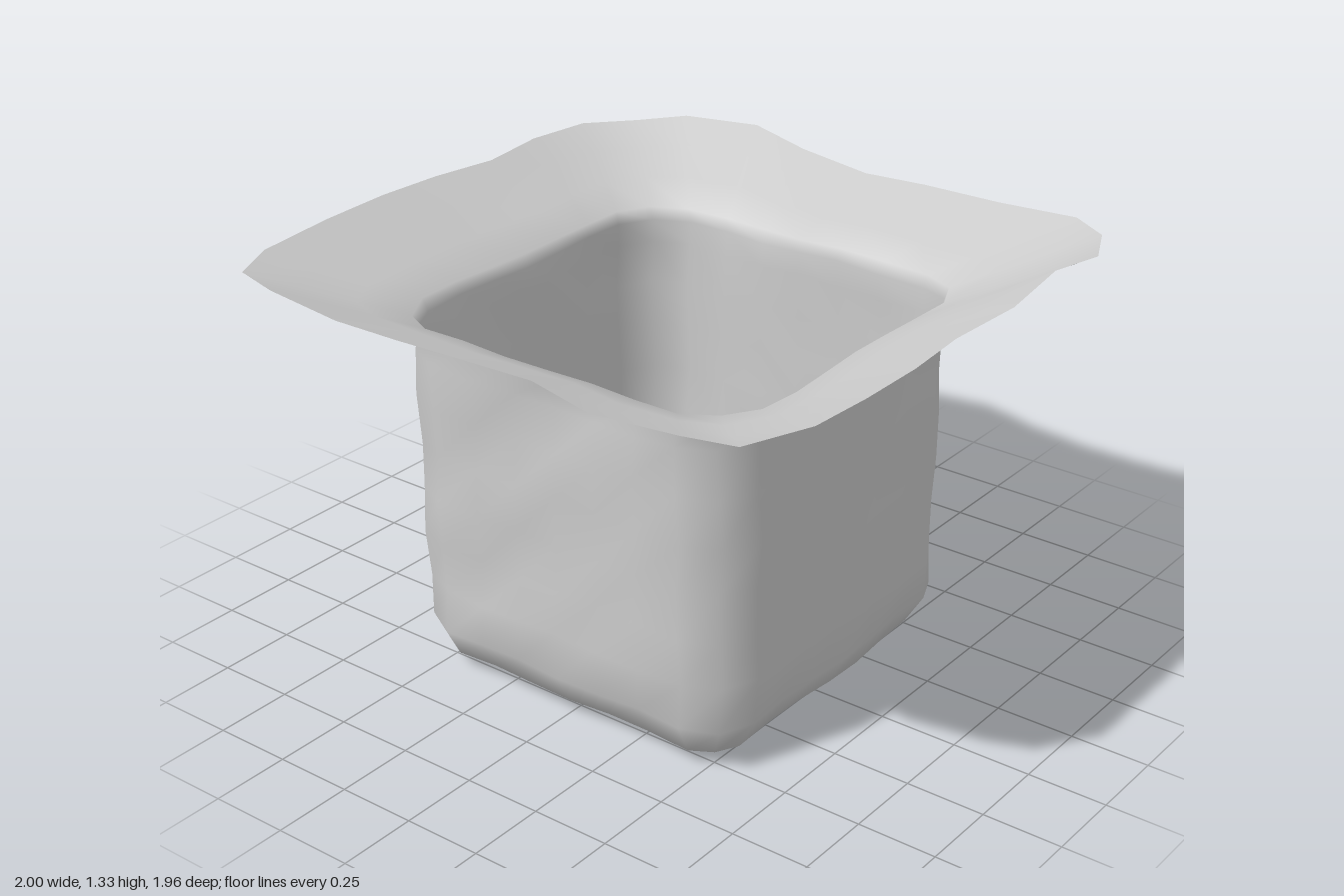
import * as THREE from 'three';

// Brim edge, clockwise from the back right corner: seven points per side, then a corner [x, y, z]
const BRIM_EDGE = [
  [-0.76, 1.33, -0.945], [-0.5, 1.345, -0.95], [-0.24, 1.34, -0.97], [0, 1.33, -0.975], [0.24, 1.32, -0.955], [0.48, 1.32, -0.985], [0.72, 1.31, -0.975],
  [0.88, 1.3, -0.87],
  [0.97, 1.32, -0.73], [1, 1.335, -0.46], [0.97, 1.305, -0.25], [0.96, 1.28, 0], [0.95, 1.295, 0.23], [0.98, 1.285, 0.48], [0.965, 1.305, 0.76],
  [0.895, 1.3, 0.885],
  [0.715, 1.31, 0.97], [0.51, 1.325, 0.945], [0.24, 1.31, 0.97], [-0.02, 1.3, 0.945], [-0.27, 1.31, 0.975], [-0.5, 1.31, 0.975], [-0.73, 1.32, 0.975],
  [-0.89, 1.29, 0.86],
  [-0.955, 1.305, 0.72], [-1, 1.31, 0.47], [-0.94, 1.31, 0.23], [-0.96, 1.315, 0], [-0.965, 1.31, -0.23], [-0.97, 1.31, -0.45], [-0.97, 1.335, -0.7],
  [-0.9, 1.32, -0.89],
];
const N = BRIM_EDGE.length;

// Small repeatable bumps
const wobble = (x, y, z, k) =>
  Math.sin(x * 7.3 + y * 5.1 + k) * Math.cos(z * 6.7 - y * 8.3 + k * 2.1) * 0.7 +
  Math.sin(y * 17 + x * 11 - z * 13 + k * 3.7) * 0.5;

// Rounded square ring: half width, half length of the straight part, corner offset
function squareRing(half, flat, corner, y, bump) {
  const ring = [];
  for (let side = 0; side < 4; side++) {
    const c = [1, 0, -1, 0][side], s = [0, 1, 0, -1][side];
    for (let i = 0; i < 8; i++) {
      const u = i < 7 ? flat * (i / 3 - 1) : corner;
      const v = i < 7 ? -half : -corner;
      const x = u * c - v * s, z = u * s + v * c;
      ring.push([
        x + bump * wobble(x, y, z, 1),
        y + bump * 0.7 * wobble(x, y, z, 4),
        z + bump * wobble(x, y, z, 7),
      ]);
    }
  }
  return ring;
}

// Smooth skin over a stack of rings, closed by a point in the middle of the first
function skin(rings, centre) {
  const index = [];
  for (let r = 0; r < rings.length - 1; r++) {
    for (let i = 0; i < N; i++) {
      const a = r * N + i, b = r * N + (i + 1) % N;
      index.push(a, a + N, b, b, a + N, b + N);
    }
  }
  const mid = rings.length * N;
  for (let i = 0; i < N; i++) index.push(mid, i, (i + 1) % N);
  const geometry = new THREE.BufferGeometry();
  geometry.setAttribute('position', new THREE.Float32BufferAttribute([...rings.flat(2), ...centre], 3));
  geometry.setIndex(index);
  geometry.computeVertexNormals();
  return geometry;
}

export function createModel() {
  const group = new THREE.Group();
  group.name = 'openBoxWithBrim';

  // Floor and its rounded lower edge
  const rings = [
    squareRing(0.15, 0.145, 0.148, 0.018, 0.006),
    squareRing(0.3, 0.29, 0.297, 0.016, 0.007),
    squareRing(0.45, 0.42, 0.438, 0.02, 0.009),
    squareRing(0.55, 0.44, 0.51, 0.06, 0.01),
  ];
  // Walls
  for (const y of [0.16, 0.3, 0.45, 0.6, 0.75, 0.9, 1.04, 1.12]) {
    rings.push(squareRing(0.603, 0.445, 0.552, y, 0.012));
  }
  // Flared brim
  const neck = squareRing(0.615, 0.455, 0.56, 1.16, 0.008);
  for (const t of [0, 0.33, 0.67, 1]) {
    rings.push(neck.map((p, i) => p.map((v, k) => v + (BRIM_EDGE[i][k] - v) * t)));
  }

  const material = new THREE.MeshStandardMaterial({ color: 0xcccccc, side: THREE.DoubleSide });
  const shell = new THREE.Mesh(skin(rings, [0, 0.018, 0]), material);
  shell.name = 'boxAndBrim';
  group.add(shell);
  return group;
}
